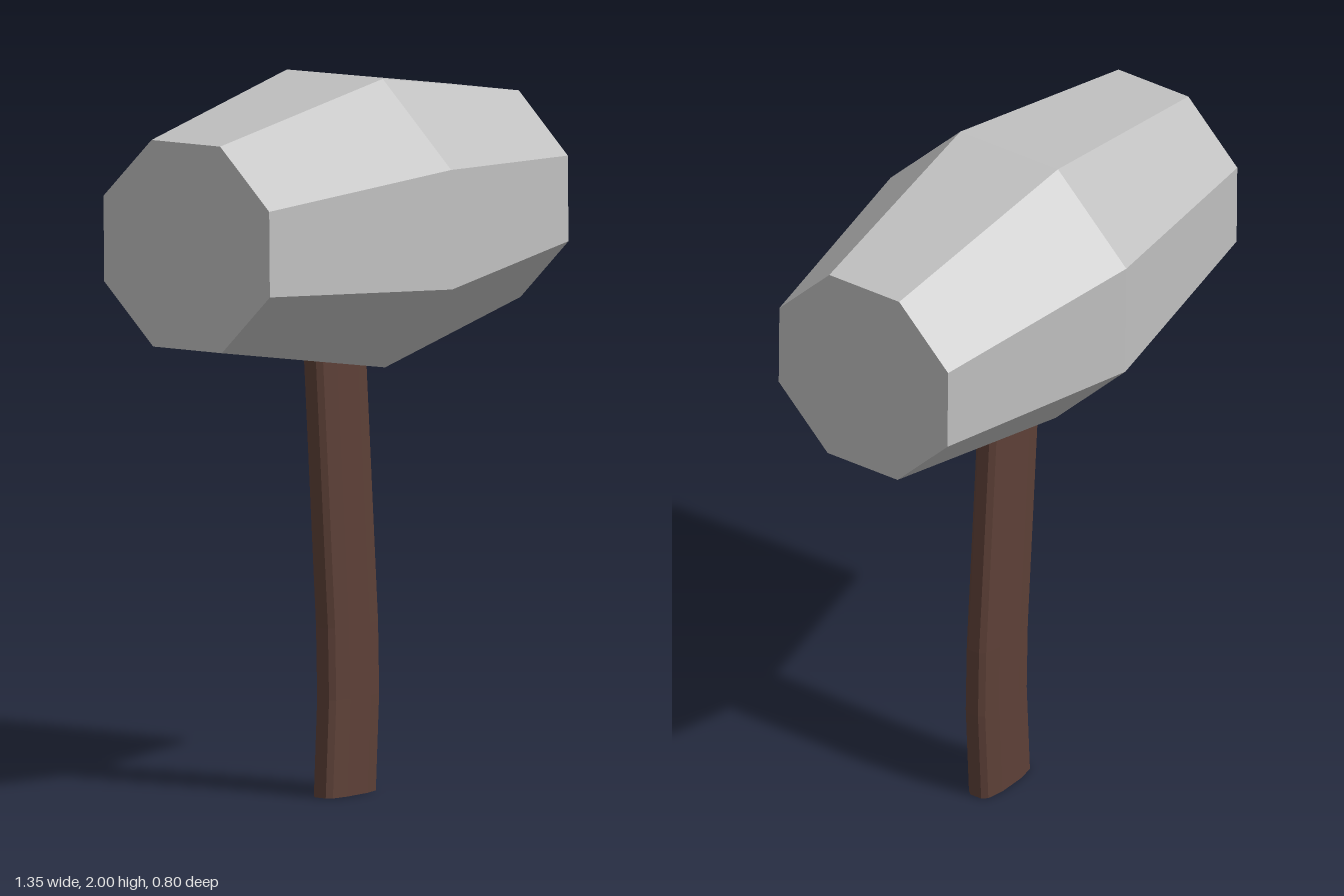
import * as THREE from 'three';

// Sweeps one cross-section of [x, z] points up a list of [xOffset, y] stations, with closed ends
function sweepUp(section, path) {
  const n = section.length;
  const positions = [];
  const index = [];
  for (const [cx, y] of path) {
    for (const [x, z] of section) positions.push(cx + x, y, z);
  }
  for (let i = 0; i < path.length - 1; i++) {
    for (let j = 0; j < n; j++) {
      const a = i * n + j;
      const b = i * n + ((j + 1) % n);
      index.push(a, a + n, b, b, a + n, b + n);
    }
  }
  const top = (path.length - 1) * n;
  for (let j = 1; j < n - 1; j++) {
    index.push(0, j, j + 1);
    index.push(top, top + j + 1, top + j);
  }
  const geometry = new THREE.BufferGeometry();
  geometry.setAttribute('position', new THREE.Float32BufferAttribute(positions, 3));
  geometry.setIndex(index);
  const flat = geometry.toNonIndexed();
  flat.computeVertexNormals();
  return flat;
}

export function createModel() {
  const group = new THREE.Group();
  group.name = 'hammer';

  const steel = new THREE.MeshStandardMaterial({ color: 0xc0c0c0, flatShading: true });
  steel.name = 'grey steel';
  const wood = new THREE.MeshStandardMaterial({ color: 0x5d4037, flatShading: true });
  wood.name = 'dark brown wood';

  // Head: eight-sided barrel lying along x, widest in the middle
  const profile = [[0, -0.675], [0.31, -0.675], [0.433, 0], [0.31, 0.675], [0, 0.675]]
    .map(([r, y]) => new THREE.Vector2(r, y));
  const headGeometry = new THREE.LatheGeometry(profile, 8, Math.PI / 8);
  headGeometry.rotateZ(Math.PI / 2);
  headGeometry.rotateX(-0.01);
  const head = new THREE.Mesh(headGeometry, steel);
  head.name = 'head';
  head.position.y = 1.6;
  group.add(head);

  // Handle: flat, rounded section following a gentle bend
  const quarter = [[0.11, 0.018], [0.097, 0.033], [0.046, 0.043]];
  const half = [...quarter, ...quarter.map(([x, z]) => [-x, z]).reverse()];
  const section = [...half, ...half.map(([x, z]) => [-x, -z])];
  const path = [[0.04, 0], [0.055, 0.27], [0.05, 0.47], [-0.006, 1.24]];
  const handle = new THREE.Mesh(sweepUp(section, path), wood);
  handle.name = 'handle';
  group.add(handle);

  return group;
}
